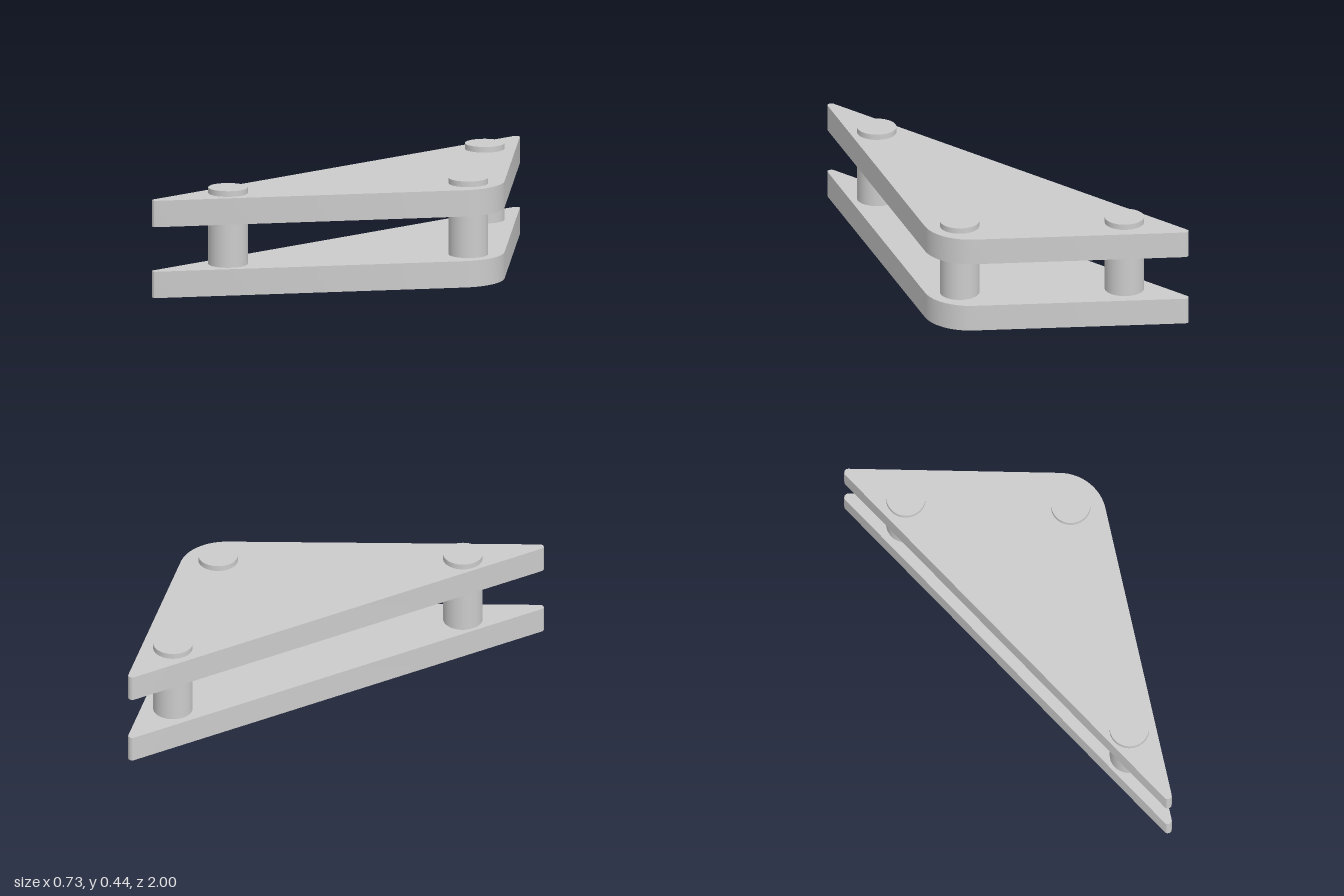
import * as THREE from 'three';
import { toCreasedNormals } from 'three/addons/utils/BufferGeometryUtils.js';

const PLATE = 0.113, UPPER_Y = 0.304, TOP = 0.441, PIN_R = 0.083;

// Rounded corners of the triangular plate, counter-clockwise: [x, -z, radius]
const CORNERS = [[0.163, 0.235, 0.2], [-0.346, 0.983, 0.017], [-0.346, -0.983, 0.017]];

// Pin centres: [x, z]
const PINS = [[-0.25, -0.732], [0.234, -0.238], [-0.264, 0.659]];

// Outward normal angle of the straight edge tangent to two corner circles
function edgeAngle(a, b) {
  const dx = b[0] - a[0], dy = b[1] - a[1];
  return Math.atan2(dy, dx) - Math.acos((a[2] - b[2]) / Math.hypot(dx, dy));
}

function plateGeometry() {
  const shape = new THREE.Shape();
  CORNERS.forEach((c, i) => {
    const prev = CORNERS[(i + 2) % 3], next = CORNERS[(i + 1) % 3];
    shape.absarc(c[0], c[1], c[2], edgeAngle(prev, c), edgeAngle(c, next), false);
  });
  shape.closePath();
  const geo = new THREE.ExtrudeGeometry(shape, { depth: PLATE, bevelEnabled: false, curveSegments: 12 });
  geo.rotateX(-Math.PI / 2);
  return toCreasedNormals(geo, 0.5);
}

export function createModel() {
  const model = new THREE.Group();
  const material = new THREE.MeshStandardMaterial({ color: 0xcccccc });
  const add = (name, geo, x, y, z) => {
    const mesh = new THREE.Mesh(geo, material);
    mesh.name = name;
    mesh.position.set(x, y, z);
    model.add(mesh);
  };

  // Two matching plates
  const plate = plateGeometry();
  add('lowerPlate', plate, 0, 0, 0);
  add('upperPlate', plate, 0, UPPER_Y, 0);

  // Pins stand on the lower plate and pass through the upper one
  const height = TOP - PLATE;
  const pin = new THREE.CylinderGeometry(PIN_R, PIN_R, height, 48);
  PINS.forEach(([x, z], i) => add(['backPin', 'cornerPin', 'frontPin'][i], pin, x, PLATE + height / 2, z));

  return model;
}
